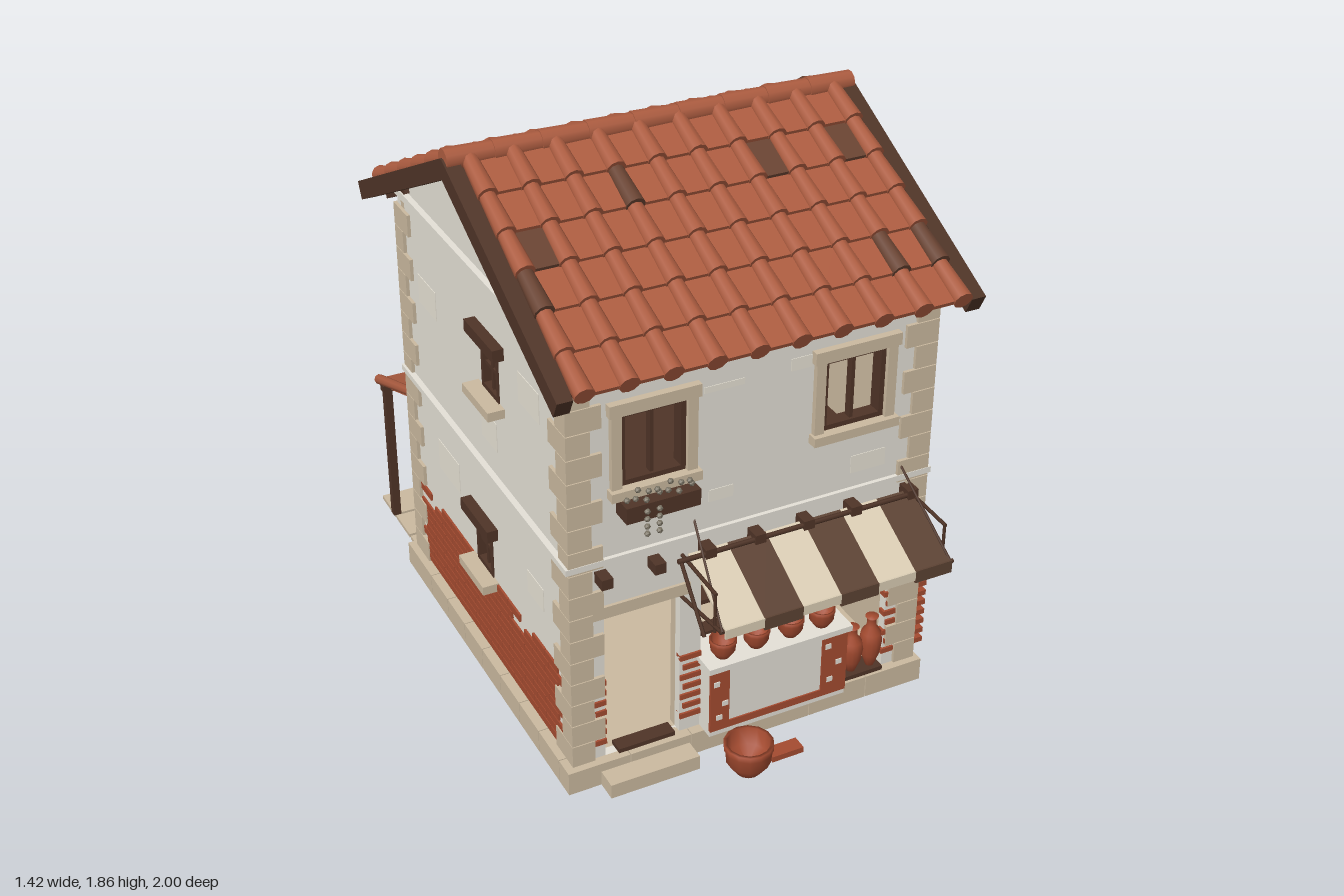
import * as THREE from 'three';

const mat = (name, color) => {
  const m = new THREE.MeshStandardMaterial({ color });
  m.name = name;
  return m;
};
const M = {
  tile: mat('terracotta', 0xac5c40), oldTile: mat('weathered tile', 0x694332), wood: mat('dark wood', 0x4f3427),
  plaster: mat('lime plaster', 0xe4e0d6), patch: mat('fresh plaster', 0xebe6d8), stone: mat('stone', 0xcab99f),
  brick: mat('brick', 0xa44b30), cream: mat('cream cloth', 0xdacdb4), cloth: mat('brown cloth', 0x5c4233),
  plant: mat('dry foliage', 0x7b7465),
};
// Wall faces and centre of the house
const X0 = -0.623, X1 = 0.564, Z0 = -0.551, Z1 = 0.738, CX = -0.03, CZ = 0.09;

function add(parent, name, geo, m, x = 0, y = 0, z = 0) {
  const mesh = new THREE.Mesh(geo, m);
  mesh.name = name;
  mesh.position.set(x, y, z);
  parent.add(mesh);
  return mesh;
}
function box(p, name, m, x0, x1, y0, y1, z0, z1) {
  return add(p, name, new THREE.BoxGeometry(x1 - x0, y1 - y0, z1 - z0), m, (x0 + x1) / 2, (y0 + y1) / 2, (z0 + z1) / 2);
}
function group(p, name, x = 0, y = 0, z = 0, ry = 0) {
  const g = new THREE.Group();
  g.name = name;
  g.position.set(x, y, z);
  g.rotation.y = ry;
  p.add(g);
  return g;
}
function rod(p, name, m, a, b, r) {
  const A = new THREE.Vector3(...a), B = new THREE.Vector3(...b);
  const c = add(p, name, new THREE.CylinderGeometry(r, r, A.distanceTo(B), 6), m);
  c.position.copy(A).add(B).multiplyScalar(0.5);
  c.quaternion.setFromUnitVectors(new THREE.Vector3(0, 1, 0), B.sub(A).normalize());
}
function lathe(p, name, m, pts, x, y, z, seg = 14) {
  return add(p, name, new THREE.LatheGeometry(pts.map(q => new THREE.Vector2(...q)), seg), m, x, y, z);
}
function bowl(p, name, x, y, z, r, h) {
  return lathe(p, name, M.brick, [[0, 0], [r * 0.5, 0], [r * 0.9, h * 0.4], [r * 0.95, h * 0.8], [r, h * 0.82], [r, h],
    [r * 0.86, h], [r * 0.8, h * 0.45], [0, h * 0.15]], x, y, z);
}
function wallGeo(outline, holes, depth) {
  const s = new THREE.Shape(outline.map(q => new THREE.Vector2(...q)));
  for (const [a, b, c, d] of holes) s.holes.push(new THREE.Path([[a, c], [a, d], [b, d], [b, c]].map(q => new THREE.Vector2(...q))));
  return new THREE.ExtrudeGeometry(s, { depth, bevelEnabled: false });
}

// Window with its bottom centre at the group origin, facing local +z
function windowUnit(p, name, x, y, z, ry, w, h, rustic, trim = M.stone) {
  const g = group(p, name, x, y, z, ry), a = w / 2;
  if (rustic) {
    box(g, 'lintel', M.wood, -0.11, 0.11, h, h + 0.04, -0.02, 0.036);
    box(g, 'sill', M.stone, -0.1, 0.1, -0.03, 0, -0.02, 0.055);
  } else {
    box(g, 'lintel', trim, -a - 0.04, a + 0.04, h, h + 0.04, -0.02, 0.024);
    box(g, 'sill', trim, -a - 0.04, a + 0.04, -0.03, 0, -0.02, 0.035);
    for (const s of [-1, 1]) box(g, 'jamb', trim, s * (a + 0.016) - 0.016, s * (a + 0.016) + 0.016, 0, h, -0.02, 0.018);
  }
  const f = 0.016;
  for (const s of [-1, 1]) box(g, 'frame side', M.wood, s * (a - f / 2) - f / 2, s * (a - f / 2) + f / 2, 0, h, -0.04, 0.004);
  for (const v of [0, h - f]) box(g, 'frame rail', M.wood, -a, a, v, v + f, -0.04, 0.004);
  box(g, 'mullion', M.wood, -0.006, 0.006, 0, h, -0.03, -0.005);
  if (rustic) box(g, 'cross bar', M.wood, -a, a, h * 0.5 - 0.006, h * 0.5 + 0.006, -0.03, -0.005);
  return g;
}
function flowerBox(g, w, trails) {
  box(g, 'flower box', M.wood, -w / 2, w / 2, -0.085, -0.032, 0.005, 0.074);
  for (let i = 0; i < 13; i++)
    add(g, 'plant', new THREE.IcosahedronGeometry(0.01, 0), M.plant, -w / 2 + 0.015 + i * (w - 0.03) / 12, -0.024 + (i % 3) * 0.013, 0.045 + (i % 2) * 0.02);
  for (const u of trails) for (let k = 0; k < 4; k++)
    add(g, 'trailing plant', new THREE.IcosahedronGeometry(0.01, 0), M.plant, u, -0.055 - k * 0.025, 0.078);
}

function buildWalls(root) {
  const g = group(root, 'walls');
  const rect = [[X0, 0.05], [X1, 0.05], [X1, 1.44], [X0, 1.44]];
  const gable = [[Z0, 0.05], [Z1, 0.05], [Z1, 1.455], [CZ, 1.78], [Z0, 1.455]];
  const front = [[-0.465, -0.258, 1.04, 1.28], [0.19, 0.4, 1.04, 1.28], [-0.52, -0.27, 0.08, 0.6], [-0.2, 0.46, 0.08, 0.72]];
  const back = [[-0.25, -0.12, 1.09, 1.26], [0.04, 0.17, 0.39, 0.56]];
  const right = [[-0.145, 0.037, 1.06, 1.27], [0.14, 0.33, 0.36, 0.57]];
  const left = [[0.125, 0.255, 1.09, 1.26], [0.015, 0.145, 0.39, 0.56]];
  const t = 0.03;
  // Plaster outside, stone-coloured lining inside
  add(g, 'front wall', wallGeo(rect, front, t), M.plaster, 0, 0, Z1 - t);
  add(g, 'front lining', wallGeo(rect, front, t), M.stone, 0, 0, Z1 - 2 * t);
  add(g, 'back wall', wallGeo(rect, back, t), M.plaster, 0, 0, Z0);
  add(g, 'back lining', wallGeo(rect, back, t), M.stone, 0, 0, Z0 + t);
  const side = holes => wallGeo(gable, holes, t).rotateY(-Math.PI / 2);
  add(g, 'right wall', side(right), M.plaster, X1);
  add(g, 'right lining', side(right), M.stone, X1 - t);
  add(g, 'left wall', side(left), M.plaster, X0 + t);
  add(g, 'left lining', side(left), M.stone, X0 + 2 * t);
  box(g, 'ground floor', M.stone, X0, X1, 0.05, 0.08, Z0, Z1 - 0.001);
  box(g, 'upper floor', M.wood, X0 + 0.03, X1 - 0.03, 0.76, 0.79, Z0 + 0.03, Z1 - 0.03);
  box(g, 'underside', M.wood, X0 + 0.03, X1 - 0.03, 0.006, 0.05, Z0 + 0.03, Z1 - 0.03);
  // Repaired plaster patches: x or z range, then y range
  for (const [a, b, c, d] of [[-0.2, -0.07, 1.27, 1.29], [0.08, 0.15, 1.27, 1.31], [-0.18, -0.1, 0.9, 0.94], [0.3, 0.42, 0.86, 0.92]])
    box(g, 'front patch', M.patch, a, b, c, d, Z1, Z1 + 0.002);
  for (const [a, b, c, d] of [[0.1, 0.25, 1.15, 1.25], [-0.45, -0.33, 0.95, 1.05], [0.3, 0.42, 0.95, 1.02], [-0.4, -0.25, 0.3, 0.42]])
    box(g, 'back patch', M.patch, a, b, c, d, Z0 - 0.002, Z0);
  for (const [a, b, c, d] of [[0.4, 0.55, 1.18, 1.28], [-0.4, -0.25, 1.12, 1.22], [0.1, 0.22, 0.9, 1.0], [-0.3, -0.12, 0.55, 0.66], [0.42, 0.54, 0.52, 0.6]])
    for (const x of [X0 - 0.002, X1]) box(g, 'side patch', M.patch, x, x + 0.002, c, d, a, b);
  // String courses and gable mouldings
  const e = 0.02;
  box(g, 'front course', M.plaster, X0 - e, X1 + e, 0.79, 0.81, Z1, Z1 + 0.013);
  box(g, 'back course', M.plaster, X0 - e, X1 + e, 0.79, 0.81, Z0 - 0.013, Z0);
  for (const x of [X0 - e, X1]) {
    box(g, 'side course', M.plaster, x, x + e, 0.79, 0.81, Z0, Z1);
    box(g, 'gable moulding', M.plaster, x, x + e, 1.455, 1.48, Z0, Z1);
  }
  // Corner stones alternate long and short
  for (let i = 0; i < 17; i++) {
    const y = 0.082 + i * 0.078, a = i % 2 ? 0.11 : 0.075, b = i % 2 ? 0.07 : 0.12, o = 0.011;
    for (const [xa, xb] of [[X0 - o, X0 - o + a], [X1 + o - a, X1 + o]])
      for (const [za, zb] of [[Z0 - o, Z0 - o + b], [Z1 + o - b, Z1 + o]]) box(g, 'corner stone', M.stone, xa, xb, y, y + 0.075, za, zb);
  }
  // Plinth blocks
  const px0 = -0.658, px1 = 0.594, pz0 = -0.583, pz1 = 0.77;
  for (let i = 0; i < 6; i++) for (const z of [pz0, pz1 - 0.07]) {
    const s = (px1 - px0) / 6, x = px0 + i * s;
    box(g, 'plinth block', M.stone, x, x + s - 0.003, 0, 0.08, z, z + 0.07);
  }
  for (let i = 0; i < 8; i++) for (const x of [px0, px1 - 0.07]) {
    const s = (pz1 - pz0 - 0.14) / 8, z = pz0 + 0.07 + i * s;
    box(g, 'plinth block', M.stone, x, x + 0.07, 0, 0.08, z, z + s - 0.003);
  }
  // Exposed brickwork on both side walls, leaving the window openings clear
  for (const [x, hole] of [[X1, [0.1, 0.37, 0.335]], [X0, [-0.02, 0.18, 0.365]]])
    for (let r = 0; r < 10; r++) for (let i = 0; i < 12; i++) {
      const z = -0.455 + i * 0.094 - (r % 2) * 0.03, y = 0.09 + r * 0.03;
      if (r > 7 && (i * 5 + r * 3) % 8 === 0) continue;
      if (y + 0.026 > hole[2] && z + 0.06 > hole[0] && z + 0.03 < hole[1]) continue;
      box(g, 'brick', M.brick, x - 0.007, x + 0.007, y, y + 0.026, z, z + 0.09);
    }
  // Brick edges beside the front openings
  for (let r = 0; r < 7; r++) for (const [x, w] of [[-0.54, 0.045], [-0.235, 0.07], [0.475, 0.045], [0.588, 0.04]])
    box(g, 'brick edge', M.brick, x - w / 2 + (r % 2) * 0.01, x + w / 2, 0.13 + r * 0.037, 0.148 + r * 0.037, Z1 - 0.02, Z1 + 0.007);
  // Windows
  const P = Math.PI;
  flowerBox(windowUnit(g, 'front left window', -0.3615, 1.04, Z1, 0, 0.207, 0.24), 0.235, [-0.055, -0.016]);
  windowUnit(g, 'front right window', 0.295, 1.04, Z1, 0, 0.21, 0.24);
  flowerBox(windowUnit(g, 'side upper window', X1, 1.06, -0.054, P / 2, 0.182, 0.21), 0.215, [-0.038, 0.062]);
  windowUnit(g, 'side lower window', X1, 0.36, 0.235, P / 2, 0.19, 0.21, false, M.plaster);
  windowUnit(g, 'back upper window', -0.185, 1.09, Z0, P, 0.13, 0.17, true);
  windowUnit(g, 'back lower window', 0.105, 0.39, Z0, P, 0.13, 0.17, true);
  windowUnit(g, 'left upper window', X0, 1.09, 0.19, -P / 2, 0.13, 0.17, true);
  windowUnit(g, 'left lower window', X0, 0.39, 0.08, -P / 2, 0.13, 0.17, true);
}

function buildRoof(root) {
  const roof = group(root, 'roof', CX, 1.8, CZ), angle = 0.468, L = 0.845, rows = 6, pitch = L / rows, step = 0.1325;
  // Weathered tiles as column,row; half columns are barrel tiles
  const worn = [['0,2', '6,1', '8,1', '2.5,1', '-0.5,3', '7.5,4', '8.5,4'], ['1,4', '0,3', '3,2', '7,0', '0,0', '-0.5,0', '7.5,2', '5.5,1']];
  for (const s of [0, 1]) {
    const slope = group(group(roof, s ? 'back slope' : 'front slope', 0, 0, 0, s * Math.PI), 'slope');
    slope.rotation.x = angle;
    box(slope, 'roof deck', M.wood, -0.64, 0.64, -0.01, 0.012, 0, L - 0.02);
    for (const x of [-0.652, 0.652]) box(slope, 'barge board', M.wood, x - 0.024, x + 0.024, -0.032, 0.028, -0.01, L + 0.01);
    for (let c = 0; c < 10; c++) box(slope, 'rafter end', M.wood, -0.6 + c * 0.133 - 0.012, -0.6 + c * 0.133 + 0.012, -0.045, -0.01, L - 0.24, L - 0.04);
    for (let r = 0; r < rows; r++) for (let c = 0; c < 10; c++) {
      const z = (r + 0.5) * pitch, x = (c - 4.5) * step;
      if (c < 9) {
        const pan = add(slope, 'pan tile', new THREE.BoxGeometry(step - 0.01, 0.014, pitch + 0.015), worn[s].includes(`${c},${r}`) ? M.oldTile : M.tile, x + step / 2, 0.024, z);
        pan.rotation.x = -0.08;
      }
      const geo = new THREE.CylinderGeometry(0.031, 0.024, pitch + 0.02, 10).rotateX(Math.PI / 2);
      const b = add(slope, 'barrel tile', geo, worn[s].includes(`${c - 0.5},${r}`) ? M.oldTile : M.tile, x, 0.03, z);
      b.rotation.x = -0.05;
    }
  }
  for (let i = 0; i < 9; i++)
    add(roof, 'ridge tile', new THREE.CylinderGeometry(0.036, 0.032, 0.155, 10).rotateZ(Math.PI / 2), M.tile, (i - 4) * 0.148, 0.024, 0);
}

function buildShop(root) {
  const g = group(root, 'shop front');
  box(g, 'door lintel', M.stone, -0.56, -0.24, 0.6, 0.64, Z1 - 0.02, Z1 + 0.01);
  box(g, 'door step', M.stone, -0.55, -0.25, 0, 0.05, 0.77, 0.84);
  box(g, 'door sill', M.wood, -0.48, -0.29, 0.08, 0.095, 0.7, 0.75);
  box(g, 'shop sill', M.wood, 0.28, 0.45, 0.08, 0.095, 0.69, 0.76);
  // Counter with brick patches around its plaster panel
  box(g, 'counter', M.plaster, -0.2, 0.28, 0.08, 0.33, 0.62, 0.805);
  box(g, 'counter top', M.plaster, -0.21, 0.29, 0.33, 0.35, 0.61, 0.82);
  box(g, 'counter brick base', M.brick, -0.2, 0.28, 0.1, 0.125, 0.8, 0.81);
  for (const [a, b] of [[-0.2, -0.135], [0.19, 0.28]]) box(g, 'counter brick side', M.brick, a, b, 0.125, 0.33, 0.8, 0.81);
  for (const [x, y] of [[-0.18, 0.28], [-0.15, 0.2], [-0.17, 0.15], [0.21, 0.29], [0.25, 0.22], [0.22, 0.16]])
    box(g, 'plaster patch', M.plaster, x - 0.01, x + 0.01, y - 0.009, y + 0.009, 0.808, 0.813);
  // Shelf and pottery
  for (const x of [-0.18, 0.26]) box(g, 'shelf post', M.wood, x - 0.008, x + 0.008, 0.35, 0.53, 0.66, 0.68);
  box(g, 'shelf', M.wood, -0.19, 0.27, 0.505, 0.52, 0.63, 0.7);
  box(g, 'low shelf', M.wood, -0.19, 0.27, 0.37, 0.38, 0.63, 0.68);
  [-0.14, -0.025, 0.095, 0.205].forEach(x => bowl(g, 'counter bowl', x, 0.35, 0.77, 0.043, 0.065));
  [-0.08, 0.02, 0.13, 0.2].forEach(x => bowl(g, 'shelf bowl', x, 0.52, 0.665, 0.03, 0.03));
  [-0.13, 0.07, 0.27].forEach(x => {
    bowl(g, 'hanging pot', x, 0.53, 0.79, 0.037, 0.055);
    rod(g, 'pot hook', M.wood, [x, 0.57, 0.79], [x, 0.7, 0.79], 0.004);
  });
  [-0.03, 0.375].forEach(x => {
    add(g, 'hanging pan', new THREE.CylinderGeometry(0.03, 0.026, 0.015, 14).rotateX(Math.PI / 2), M.tile, x, 0.535, 0.79);
    rod(g, 'pan handle', M.wood, [x, 0.56, 0.79], [x, 0.7, 0.79], 0.004);
  });
  for (const [x, k] of [[0.35, 0.92], [0.42, 1.02]])
    lathe(g, 'storage jar', M.brick, [[0, 0], [0.014, 0], [0.03, 0.045], [0.037, 0.095], [0.032, 0.125], [0.016, 0.15], [0.015, 0.175], [0.022, 0.185], [0, 0.185]], x, 0.095, 0.73).scale.y = k;
  add(g, 'keg', new THREE.CylinderGeometry(0.03, 0.03, 0.09, 10).rotateZ(Math.PI / 2), M.wood, -0.435, 0.235, -0.462);
  bowl(g, 'large bowl', -0.12, 0, 0.91, 0.078, 0.11);
  box(g, 'loose brick', M.brick, -0.04, 0.07, 0.005, 0.025, 0.87, 0.92);
  // Striped awning with hanging hem, beam ends and stays
  const sw = 0.1285;
  for (let i = 0; i < 6; i++) {
    const m = i % 2 ? M.cloth : M.cream, x = -0.256 + sw * (i + 0.5);
    add(g, 'awning stripe', new THREE.BoxGeometry(sw, 0.008, 0.265), m, x, 0.69, 0.875).rotation.x = 0.48;
    box(g, 'awning hem', m, x - sw / 2, x + sw / 2, i % 2 ? 0.593 : 0.603, 0.635, 0.987, 0.995);
  }
  rod(g, 'awning rail', M.wood, [-0.3, 0.752, 0.78], [0.52, 0.752, 0.78], 0.008);
  rod(g, 'awning front rail', M.wood, [-0.27, 0.625, 0.983], [0.525, 0.625, 0.983], 0.007);
  for (const [a, b] of [[-0.225, -0.265], [0.475, 0.512]]) {
    rod(g, 'awning stay', M.wood, [a, 0.85, 0.735], [b, 0.63, 0.99], 0.004);
    rod(g, 'awning arm', M.wood, [b, 0.59, 0.735], [b, 0.625, 0.98], 0.006);
    rod(g, 'awning brace', M.wood, [b, 0.74, 0.735], [b, 0.735, 0.95], 0.006);
    rod(g, 'awning drop', M.wood, [b, 0.735, 0.945], [b, 0.6, 0.945], 0.005);
  }
  rod(g, 'hanging pole', M.wood, [-0.29, 0.58, 0.93], [-0.29, 0.75, 0.78], 0.006);
  for (const x of [-0.53, -0.36, -0.195, -0.03, 0.135, 0.3, 0.5]) box(g, 'beam end', M.wood, x - 0.018, x + 0.018, 0.735, 0.77, 0.73, 0.79);
}

function buildPorch(root) {
  const g = group(root, 'back porch');
  for (let r = 0; r < 3; r++) for (let c = 0; c < 8; c++) {
    const x = -0.606 + c * 0.1665, z = -1 + r * 0.1455;
    box(g, 'paving slab', M.stone, x, x + 0.152, 0, 0.014, z, z + 0.134);
  }
  for (const x of [-0.6, 0.54]) box(g, 'porch post', M.wood, x - 0.014, x + 0.014, 0.014, 0.55, -0.885, -0.857);
  box(g, 'porch beam', M.wood, -0.62, 0.56, 0.535, 0.56, -0.885, -0.855);
  const slope = group(g, 'porch roof', CX, 0.622, -0.735);
  slope.rotation.x = -0.36;
  for (let c = 0; c < 10; c++) {
    const x = (c - 4.5) * 0.1325;
    if (c < 9) for (const [z0, z1, y] of [[-0.182, 0, 0.002], [-0.01, 0.19, -0.002]])
      box(slope, 'porch pan tile', M.tile, x, x + 0.1325, y - 0.007, y + 0.007, z0, z1);
    add(slope, 'porch barrel tile', new THREE.CylinderGeometry(0.016, 0.018, 0.365, 8).rotateX(Math.PI / 2), M.tile, x * 0.98, 0.006, 0);
  }
  // Barrel and stand under the porch
  lathe(g, 'barrel', M.wood, [[0, 0], [0.045, 0], [0.057, 0.06], [0.057, 0.11], [0.045, 0.17], [0, 0.17]], 0.19, 0.014, -0.72, 12);
  for (const y of [0.06, 0.14]) add(g, 'barrel hoop', new THREE.TorusGeometry(0.055, 0.004, 5, 14).rotateX(Math.PI / 2), M.wood, 0.19, y, -0.72);
  box(g, 'stand', M.wood, -0.125, -0.055, 0.014, 0.185, -0.755, -0.685);
  box(g, 'stand top', M.wood, -0.14, -0.04, 0.185, 0.21, -0.77, -0.67);
}

export function createModel() {
  const root = new THREE.Group();
  root.name = 'pottery shop house';
  buildWalls(root);
  buildRoof(root);
  buildShop(root);
  buildPorch(root);
  return root;
}
